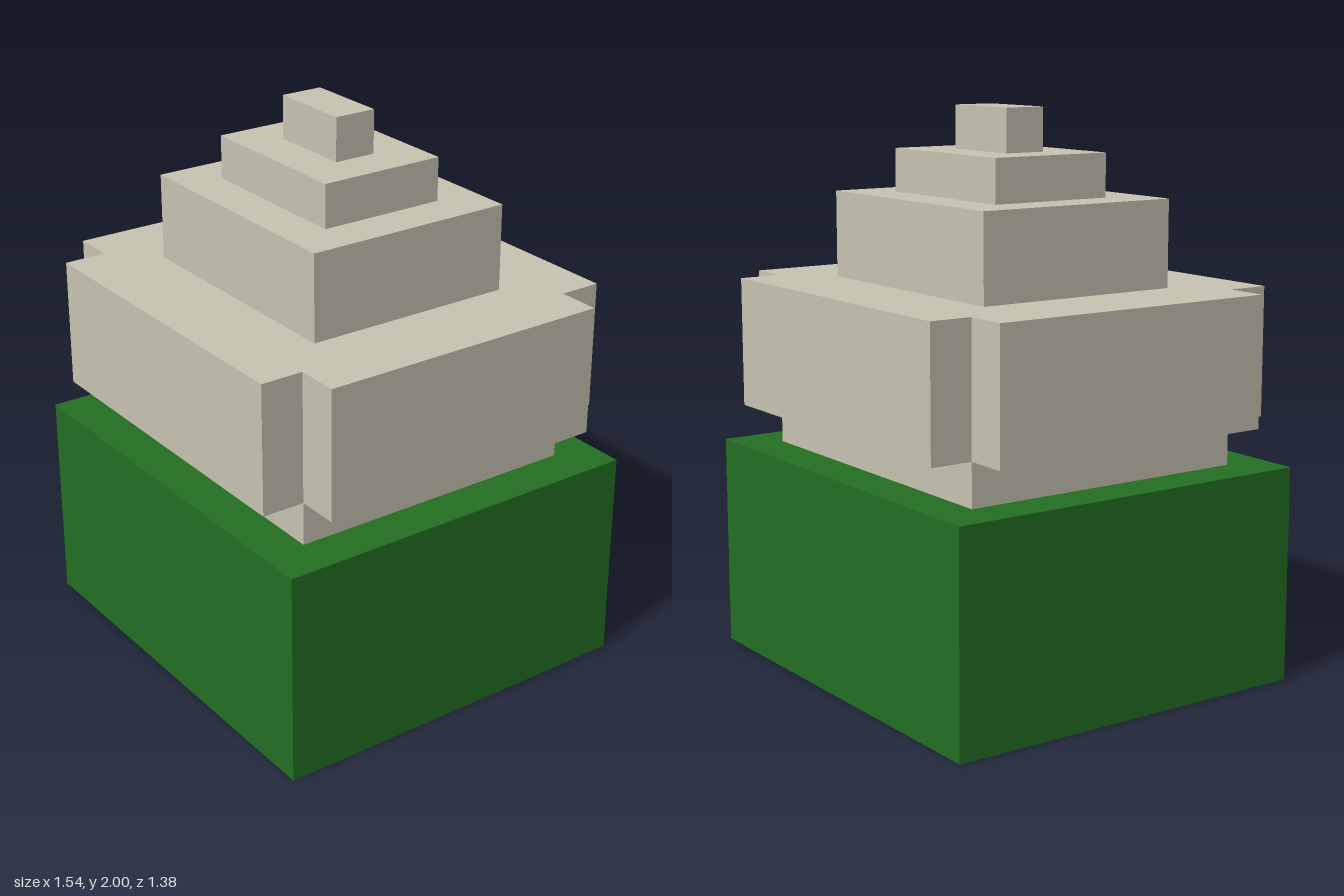
import * as THREE from 'three';

const U = 1 / 13; // block unit: 26 units tall in all

export function createModel() {
  const model = new THREE.Group();
  model.name = 'steppedBlossom';

  const green = new THREE.MeshStandardMaterial({ color: 0x236f22 });
  green.name = 'leafGreen';
  const beige = new THREE.MeshStandardMaterial({ color: 0xc8c4b3 });
  beige.name = 'paleStone';

  // Centred block: width, height, depth and bottom in block units
  function block(name, w, h, d, bottom, material) {
    const mesh = new THREE.Mesh(new THREE.BoxGeometry(w * U, h * U, d * U), material);
    mesh.name = name;
    mesh.position.y = (bottom + h / 2) * U;
    model.add(mesh);
  }

  block('base', 20, 10, 18, 0, green);
  block('neck', 16, 2, 14, 10, beige);
  block('lowerTier', 12, 4, 10, 18, beige);
  block('middleTier', 8, 2, 6, 22, beige);
  block('topBlock', 4, 2, 2, 24, beige);

  // Wide tier with a square notch cut from each corner
  const outline = [
    [8, -9], [8, -7], [10, -7], [10, 7], [8, 7], [8, 9],
    [-8, 9], [-8, 7], [-10, 7], [-10, -7], [-8, -7], [-8, -9],
  ].map(([x, y]) => new THREE.Vector2(x * U, y * U));
  const geometry = new THREE.ExtrudeGeometry(new THREE.Shape(outline), { depth: 6 * U, bevelEnabled: false });
  geometry.rotateX(-Math.PI / 2);
  const wideTier = new THREE.Mesh(geometry, beige);
  wideTier.name = 'notchedTier';
  wideTier.position.y = 12 * U;
  model.add(wideTier);

  return model;
}
